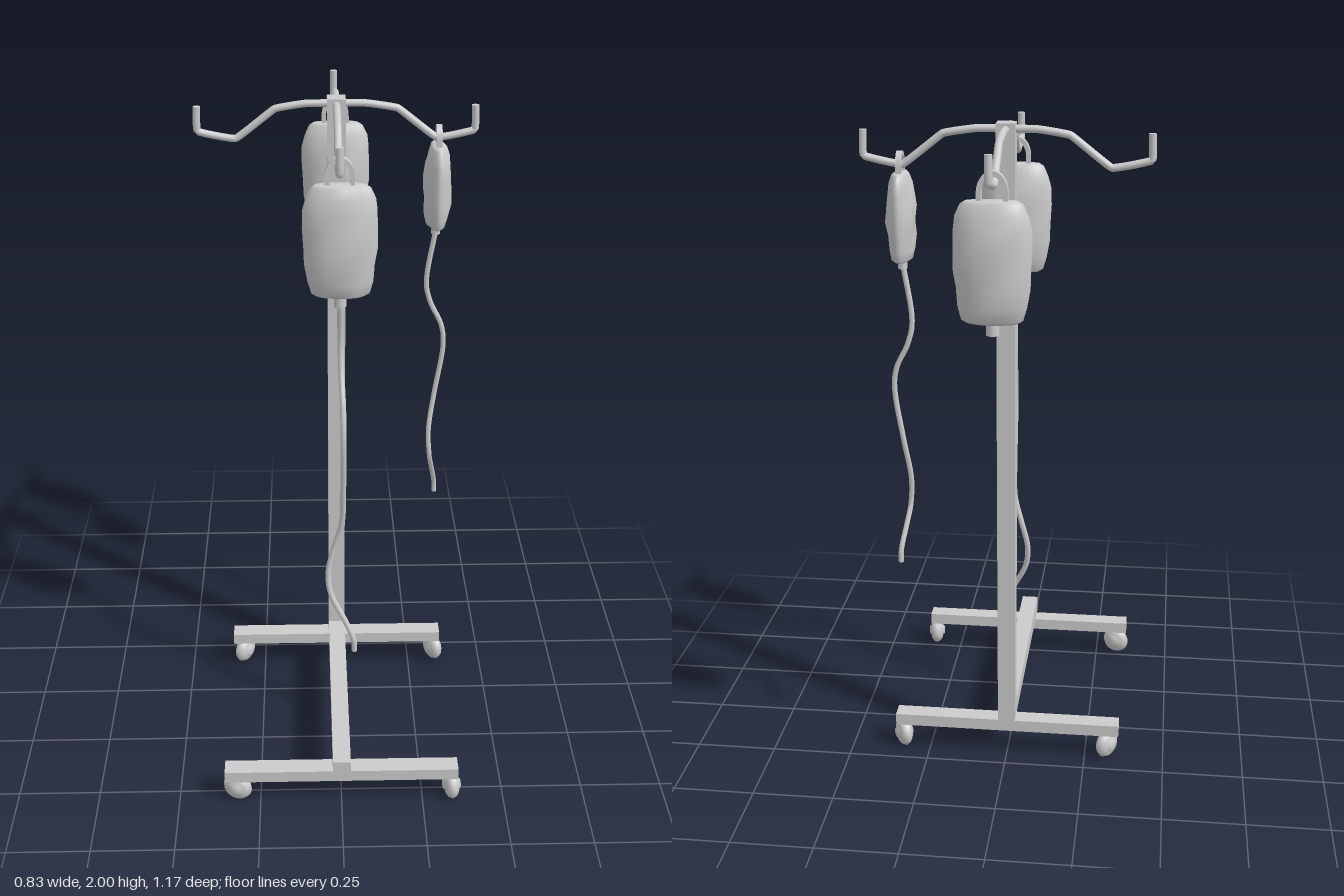
import * as THREE from 'three';
import { mergeVertices } from 'three/addons/utils/BufferGeometryUtils.js';

const POLE_Z = -0.17;
const mat = new THREE.MeshStandardMaterial({ color: 0xcccccc });
const openMat = new THREE.MeshStandardMaterial({ color: 0xcccccc, side: THREE.DoubleSide });

function add(parent, name, geometry, x = 0, y = 0, z = 0, material = mat) {
  const mesh = new THREE.Mesh(geometry, material);
  mesh.name = name;
  mesh.position.set(x, y, z);
  parent.add(mesh);
  return mesh;
}

// Smooth tube through points, closed with a disc at both ends
function addTube(parent, name, points, radius, tension, segments, sides) {
  const group = new THREE.Group();
  group.name = name;
  parent.add(group);
  const curve = new THREE.CatmullRomCurve3(
    points.map(p => new THREE.Vector3(...p)), false, 'catmullrom', tension);
  add(group, name + 'Body', new THREE.TubeGeometry(curve, segments, radius, sides));
  for (const t of [0, 1]) {
    const p = curve.getPointAt(t);
    const cap = add(group, name + 'End', new THREE.CircleGeometry(radius, sides), p.x, p.y, p.z, openMat);
    cap.lookAt(p.clone().add(curve.getTangentAt(t).multiplyScalar(t ? 1 : -1)));
  }
  return group;
}

// Flattened, slightly crumpled pouch: half width and half depth vary with height
function pouchGeometry() {
  // [height, half width, half depth]
  const rows = [
    [-0.405, 0, 0], [-0.405, 0.07, 0.026], [-0.396, 0.084, 0.037], [-0.36, 0.094, 0.047],
    [-0.31, 0.100, 0.052], [-0.26, 0.105, 0.054], [-0.20, 0.106, 0.054], [-0.15, 0.105, 0.048],
    [-0.115, 0.098, 0.041], [-0.084, 0.084, 0.031], [-0.075, 0.07, 0.021], [-0.075, 0, 0],
  ];
  const sides = 28, pos = [], index = [];
  rows.forEach(([y, w, d], r) => {
    for (let i = 0; i < sides; i++) {
      const a = (i / sides) * Math.PI * 2, s = Math.sin(a), c = Math.cos(a);
      const dent = 1 + 0.07 * Math.sin(3 * a + y * 34) + 0.04 * Math.sin(5 * a - y * 55);
      pos.push(w * c * (1 + 0.02 * Math.sin(y * 45 + a)) + 0.004,
        y, d * Math.sign(s) * Math.abs(s) ** 1.15 * dent);
      if (r === rows.length - 1) continue;
      const p = r * sides + i, q = r * sides + (i + 1) % sides;
      index.push(p, p + sides, q, q, p + sides, q + sides);
    }
  });
  const g = new THREE.BufferGeometry();
  g.setAttribute('position', new THREE.Float32BufferAttribute(pos, 3));
  g.setIndex(index);
  const merged = mergeVertices(g, 1e-5);
  merged.computeVertexNormals();
  return merged;
}

// Arch-shaped strap that hangs over the arm
function strapGeometry() {
  const s = new THREE.Shape();
  s.moveTo(0.042, -0.095);
  s.lineTo(0.042, -0.055);
  s.absellipse(0, -0.055, 0.042, 0.058, 0, Math.PI, false);
  s.lineTo(-0.042, -0.095);
  s.lineTo(-0.029, -0.095);
  s.lineTo(-0.029, -0.055);
  s.absellipse(0, -0.055, 0.029, 0.044, Math.PI, 0, true);
  s.lineTo(0.029, -0.095);
  return new THREE.ExtrudeGeometry(s, { depth: 0.022, bevelEnabled: false, curveSegments: 14 })
    .translate(0.003, 0, -0.011);
}

function addBag(root, name, x, z, size, turn) {
  const bag = new THREE.Group();
  bag.name = name;
  bag.position.set(x, 1.915, z);
  bag.rotation.y = turn;
  bag.scale.setScalar(size);
  root.add(bag);
  add(bag, 'pouch', pouchGeometry());
  add(bag, 'strap', strapGeometry());
  add(bag, 'outlet', new THREE.CylinderGeometry(0.018, 0.018, 0.05, 16), 0.004, -0.413, 0);
}

// Bulging wheel with a small hub, turning about its local x axis
function addCaster(root, name, x, z, turn) {
  const caster = new THREE.Group();
  caster.name = name;
  caster.position.set(x, 0.046, z);
  caster.rotation.y = turn;
  root.add(caster);
  const profile = [[0, -0.027], [0.014, -0.027], [0.016, -0.022], [0.03, -0.019], [0.04, -0.012],
    [0.046, 0], [0.04, 0.012], [0.03, 0.019], [0.016, 0.022], [0.014, 0.027], [0, 0.027]];
  add(caster, 'wheel', new THREE.LatheGeometry(
    profile.map(p => new THREE.Vector2(...p)), 28)).rotation.z = Math.PI / 2;
  add(caster, 'stem', new THREE.CylinderGeometry(0.012, 0.012, 0.03, 12), 0, 0.04, 0);
}

export function createModel() {
  const root = new THREE.Group();
  root.name = 'dripStand';

  // Frame
  add(root, 'pole', new THREE.BoxGeometry(0.054, 1.88, 0.056), 0, 1.06, POLE_Z);
  add(root, 'baseBeam', new THREE.BoxGeometry(0.054, 0.054, 0.775), 0, 0.15, 0.1925);
  for (const [name, z] of [['frontFoot', 0.532], ['backFoot', POLE_Z]]) {
    add(root, name, new THREE.BoxGeometry(0.714, 0.038, 0.056), 0, 0.105, z);
  }

  // Casters, each swivelled its own way
  addCaster(root, 'frontLeftCaster', 0.34, 0.534, 0.1);
  addCaster(root, 'frontRightCaster', -0.32, 0.53, 1.25);
  addCaster(root, 'backLeftCaster', 0.337, POLE_Z, 0.5);
  addCaster(root, 'backRightCaster', -0.32, POLE_Z, -0.6);

  // Two crossed hanging arms with upturned ends
  const half = [[0.403, 1.975], [0.403, 1.902], [0.293, 1.88], [0.178, 1.967], [0.088, 1.982]];
  const profile = [...half.map(([d, y]) => [-d, y]), [0, 1.983], ...half.slice().reverse()];
  addTube(root, 'sideArm', profile.map(([d, y]) => [d, y, POLE_Z]), 0.011, 0.12, 160, 12);
  addTube(root, 'lengthArm', profile.map(([d, y]) => [0, y, POLE_Z + d]), 0.011, 0.12, 160, 12);

  // Hanging bags
  addBag(root, 'frontBag', 0, 0.131, 1, 0);
  addBag(root, 'backBag', 0, -0.469, 1, 0);
  addBag(root, 'sideBag', 0.3, POLE_Z, 0.76, Math.PI / 2);

  // Drip lines
  addTube(root, 'frontLine', [
    [0.004, 1.49, 0.137], [0.006, 1.36, 0.113], [0.008, 1.27, 0.13], [0.012, 1.17, 0.18],
    [0.013, 1.06, 0.2], [0.013, 0.88, 0.17], [0.01, 0.76, 0.148], [-0.012, 0.67, 0.14],
    [-0.032, 0.58, 0.147], [-0.024, 0.5, 0.16], [0.02, 0.41, 0.178], [0.046, 0.35, 0.19],
    [0.05, 0.3, 0.188]], 0.009, 0.5, 90, 10);
  addTube(root, 'sideLine', [
    [0.3, 1.595, -0.17], [0.277, 1.44, -0.173], [0.29, 1.36, -0.175], [0.327, 1.28, -0.172],
    [0.334, 1.2, -0.168], [0.312, 1.05, -0.165], [0.296, 0.93, -0.148], [0.3, 0.84, -0.14],
    [0.31, 0.78, -0.163], [0.323, 0.71, -0.194], [0.325, 0.665, -0.198]], 0.008, 0.5, 80, 10);

  return root;
}
